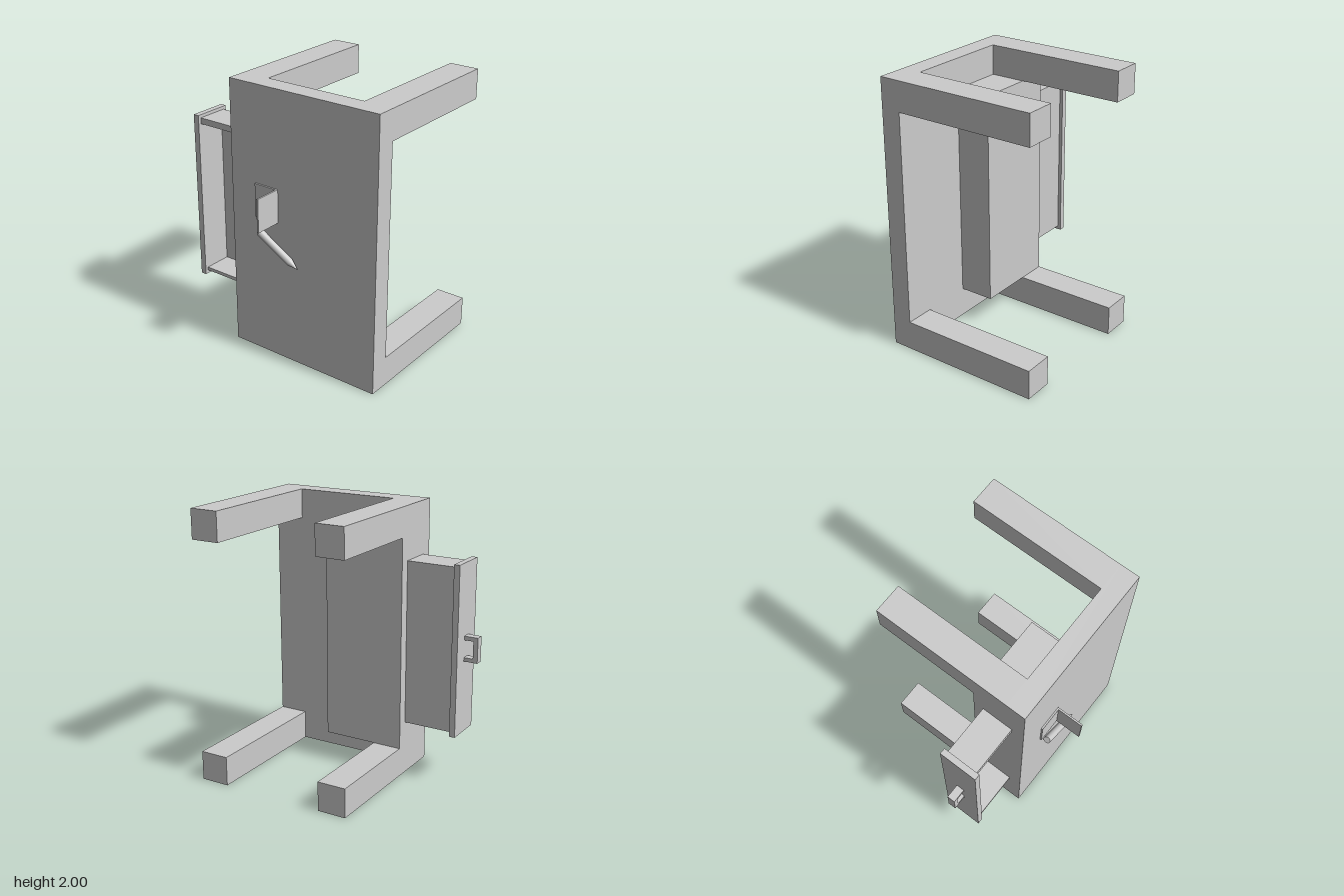
import * as THREE from 'three';

// A desk tipped onto its side: the top faces +z and the legs point to -z.
export function createModel() {
  const root = new THREE.Group();
  root.name = 'desk';
  const material = new THREE.MeshStandardMaterial({ color: 0xcccccc });

  const group = (name) => {
    const g = new THREE.Group();
    g.name = name;
    root.add(g);
    return g;
  };

  // Box given by its [min, max] extents along each axis
  const box = (parent, name, [x0, x1], [y0, y1], [z0, z1]) => {
    const mesh = new THREE.Mesh(new THREE.BoxGeometry(x1 - x0, y1 - y0, z1 - z0), material);
    mesh.position.set((x0 + x1) / 2, (y0 + y1) / 2, (z0 + z1) / 2);
    mesh.name = name;
    parent.add(mesh);
  };

  // Desk top and four legs
  box(root, 'deskTop', [-0.35, 0.86], [0, 2], [0.34, 0.487]);
  const legs = group('legs');
  for (const x of [[-0.35, -0.133], [0.643, 0.86]]) {
    for (const y of [[0, 0.218], [1.784, 2]]) box(legs, 'leg', x, y, [-0.692, 0.34]);
  }

  // Drawer housing under the top, between the two legs
  box(root, 'drawerHousing', [-0.35, 0.268], [0.218, 1.784], [0.08, 0.34]);

  // Pulled-out drawer, open towards +z
  const drawer = group('drawer');
  const reach = [-0.72, -0.3];
  box(drawer, 'drawerFloor', reach, [0.4, 1.61], [0.157, 0.18]);
  box(drawer, 'drawerSide', reach, [0.4, 0.425], [0.157, 0.392]);
  box(drawer, 'drawerSide', reach, [1.565, 1.61], [0.157, 0.392]);
  box(drawer, 'drawerFront', [-0.762, -0.718], [0.375, 1.633], [0.132, 0.416]);

  // Drawer handle: two posts and a grip
  const handle = group('handle');
  const depth = [0.245, 0.304];
  box(handle, 'handlePost', [-0.865, -0.76], [0.916, 0.945], depth);
  box(handle, 'handlePost', [-0.865, -0.76], [1.073, 1.103], depth);
  box(handle, 'handleGrip', [-0.865, -0.83], [0.945, 1.073], depth);

  // Laptop: base on the desk top, screen upright
  const laptop = group('laptop');
  box(laptop, 'laptopBase', [-0.138, 0.052], [1.05, 1.296], [0.485, 0.499]);
  box(laptop, 'laptopScreen', [0.041, 0.054], [1.05, 1.296], [0.487, 0.692]);

  // Pencil lying on the desk top
  const pencil = group('pencil');
  const radius = 0.027, bodyLength = 0.3, tipLength = 0.08;
  const body = new THREE.Mesh(new THREE.CylinderGeometry(radius, radius, bodyLength, 32), material);
  body.name = 'pencilBody';
  body.position.y = bodyLength / 2;
  const tip = new THREE.Mesh(new THREE.ConeGeometry(radius, tipLength, 32), material);
  tip.name = 'pencilTip';
  tip.position.y = bodyLength + tipLength / 2;
  pencil.add(body, tip);
  pencil.position.set(-0.087, 0.951, 0.515);
  pencil.rotation.z = -THREE.MathUtils.degToRad(120);

  return root;
}
